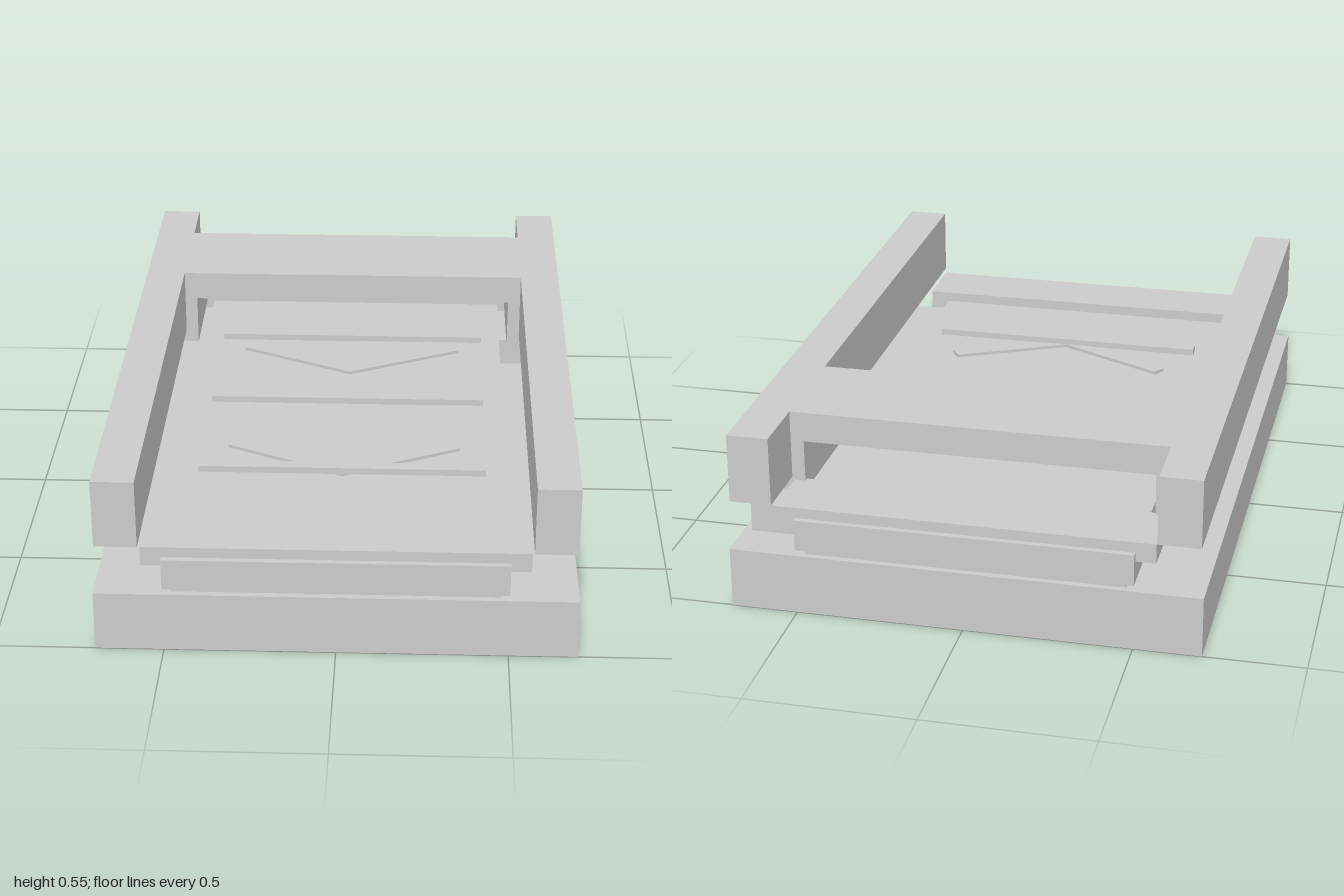
import * as THREE from 'three';

const material = new THREE.MeshStandardMaterial({ color: 0xcccccc, flatShading: true });

export function createModel() {
  const model = new THREE.Group();

  const add = (name, geometry) => {
    const mesh = new THREE.Mesh(geometry, material);
    mesh.name = name;
    model.add(mesh);
    return mesh;
  };
  // Box given by its limits on each axis
  const box = (name, x0, x1, y0, y1, z0, z1) => {
    const mesh = add(name, new THREE.BoxGeometry(x1 - x0, y1 - y0, z1 - z0));
    mesh.position.set((x0 + x1) / 2, (y0 + y1) / 2, (z0 + z1) / 2);
    return mesh;
  };
  // Prism from a mirrored outline: the +x half, listed from the axis round to the axis
  const mirroredPrism = (name, half, depth) => {
    const all = [...half, ...half.slice().reverse().map(([x, y]) => [-x, y])];
    const points = all.filter(([x], i) => x !== 0 || i < half.length)
      .map(([x, y]) => new THREE.Vector2(x, y));
    return add(name, new THREE.ExtrudeGeometry(new THREE.Shape(points), { depth, bevelEnabled: false }));
  };

  // Base slab and the sliding tray above it
  box('base', -0.7, 0.7, 0, 0.185, -1, 1);
  box('tray', -0.5, 0.5, 0.203, 0.3, -1, 1);

  // Parts repeated at both ends of the tray
  for (const s of [-1, 1]) {
    const end = s > 0 ? 'front' : 'back';
    const z0 = Math.min(s * 0.787, s * 0.982);
    box(end + 'Clamp', -0.56, 0.56, 0.272, 0.332, z0, z0 + 0.195);
    const f0 = Math.min(s * 0.866, s * 0.98);
    box(end + 'Spacer', -0.475, 0.475, 0.185, 0.203, f0, f0 + 0.114);
  }

  // Low ridges between base and tray
  for (const z of [0.13, -0.3]) {
    const ridge = box('ridge', -0.475, 0.475, 0.149, 0.189, z - 0.02, z + 0.02);
    ridge.rotation.x = Math.PI / 4;
  }

  // Block on the left side of the tray
  box('sideBlock', 0.475, 0.675, 0.185, 0.275, -0.87, -0.55);

  // Cross bars on the tray
  for (const z of [-0.47, 0, 0.47]) box('crossBar', -0.437, 0.437, 0.31, 0.33, z - 0.02, z + 0.02);

  // Flat chevrons pointing to the front
  for (const z of [-0.21, 0.49]) {
    const chevron = mirroredPrism('chevron',
      [[0, 0], [0.36, 0.175], [0.337, 0.21], [0, 0.042]], 0.01);
    chevron.rotation.x = -Math.PI / 2;
    chevron.position.set(0, 0.302, z);
  }

  // Upper rails with the bridge that joins them
  for (const s of [-1, 1]) {
    const x0 = Math.min(s * 0.565, s * 0.69);
    box(s > 0 ? 'leftRail' : 'rightRail', x0, x0 + 0.125, 0.342, 0.552, -1, 1);
  }
  const bridge = mirroredPrism('bridge',
    [[0, 0.46], [0.525, 0.46], [0.525, 0.3], [0.65, 0.3], [0.65, 0.46], [0.565, 0.46], [0.565, 0.552], [0, 0.552]], 0.348);
  bridge.position.z = -0.802;

  return model;
}
